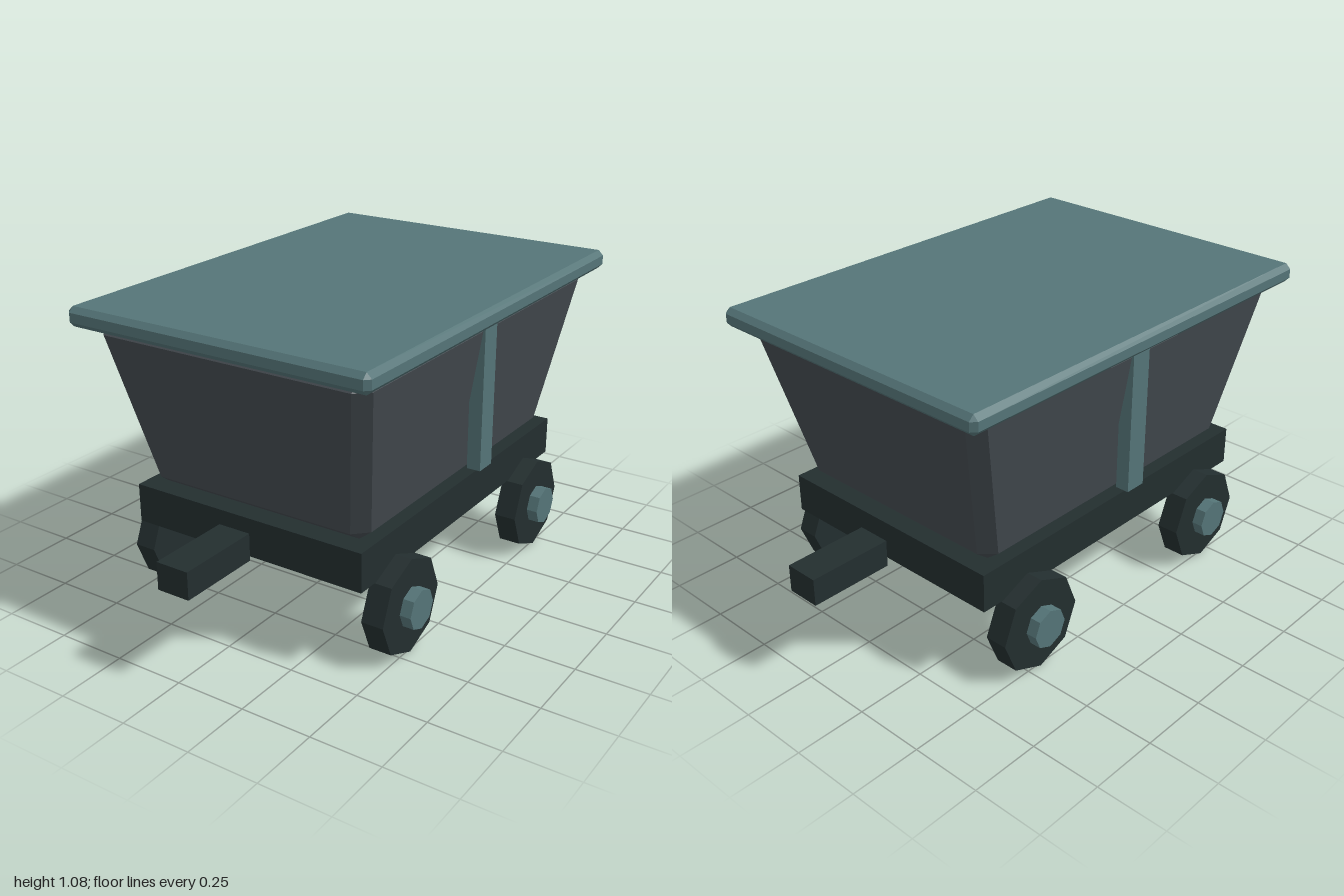
import * as THREE from 'three';
import { ConvexGeometry } from 'three/addons/geometries/ConvexGeometry.js';

const flat = (name, color) => {
  const m = new THREE.MeshStandardMaterial({ color });
  m.name = name;
  return m;
};

// Solid through horizontal rings [y, half width, half depth, corner cut]
function chamferedSolid(rings) {
  const points = [];
  for (const [y, w, d, c] of rings) {
    for (const sx of [-1, 1]) for (const sz of [-1, 1]) {
      points.push(new THREE.Vector3(sx * w, y, sz * (d - c)));
      if (c > 0) points.push(new THREE.Vector3(sx * (w - c), y, sz * d));
    }
  }
  return new ConvexGeometry(points);
}

export function createModel() {
  const group = new THREE.Group();
  group.name = 'mineCart';
  const teal = flat('tealPaint', 0x557578);
  const grey = flat('greySteel', 0x434a4f);
  const dark = flat('darkIron', 0x232e2f);

  const add = (name, geometry, material, x = 0, y = 0, z = 0) => {
    const mesh = new THREE.Mesh(geometry, material);
    mesh.name = name;
    mesh.position.set(x, y, z);
    group.add(mesh);
    return mesh;
  };

  // Flared hopper with cut edges
  add('hopper', chamferedSolid([
    [0.43, 0.39, 0.57, 0],
    [0.46, 0.43, 0.61, 0.047],
    [0.98, 0.517, 0.737, 0.045],
    [1.02, 0.475, 0.695, 0],
  ]), grey);

  // Flat lid
  add('lid', chamferedSolid([
    [1.007, 0.552, 0.782, 0],
    [1.025, 0.57, 0.8, 0.018],
    [1.057, 0.57, 0.8, 0.018],
    [1.075, 0.552, 0.782, 0],
  ]), teal);

  // Frame under the hopper
  add('chassis', new THREE.BoxGeometry(0.9, 0.137, 1.3), dark, 0, 0.3615, 0);

  const wheel = new THREE.CylinderGeometry(0.17, 0.17, 0.08, 8).toNonIndexed();
  const hub = new THREE.CylinderGeometry(0.07, 0.07, 0.05, 8).toNonIndexed();
  for (const g of [wheel, hub]) {
    g.rotateZ(Math.PI / 2);
    g.computeVertexNormals();
  }

  for (const s of [-1, 1]) {
    // Side ribs and end couplers
    add('sideRib', new THREE.BoxGeometry(0.05, 0.5, 0.08), teal, s * 0.5, 0.74, 0);
    add('coupler', new THREE.BoxGeometry(0.12, 0.096, 0.3), dark, 0, 0.361, s * 0.85);
    // Eight-sided wheels with outer hubs
    for (const t of [-1, 1]) {
      add('wheel', wheel, dark, s * 0.47, 0.17, t * 0.45);
      add('wheelHub', hub, teal, s * 0.525, 0.17, t * 0.45);
    }
  }
  return group;
}
